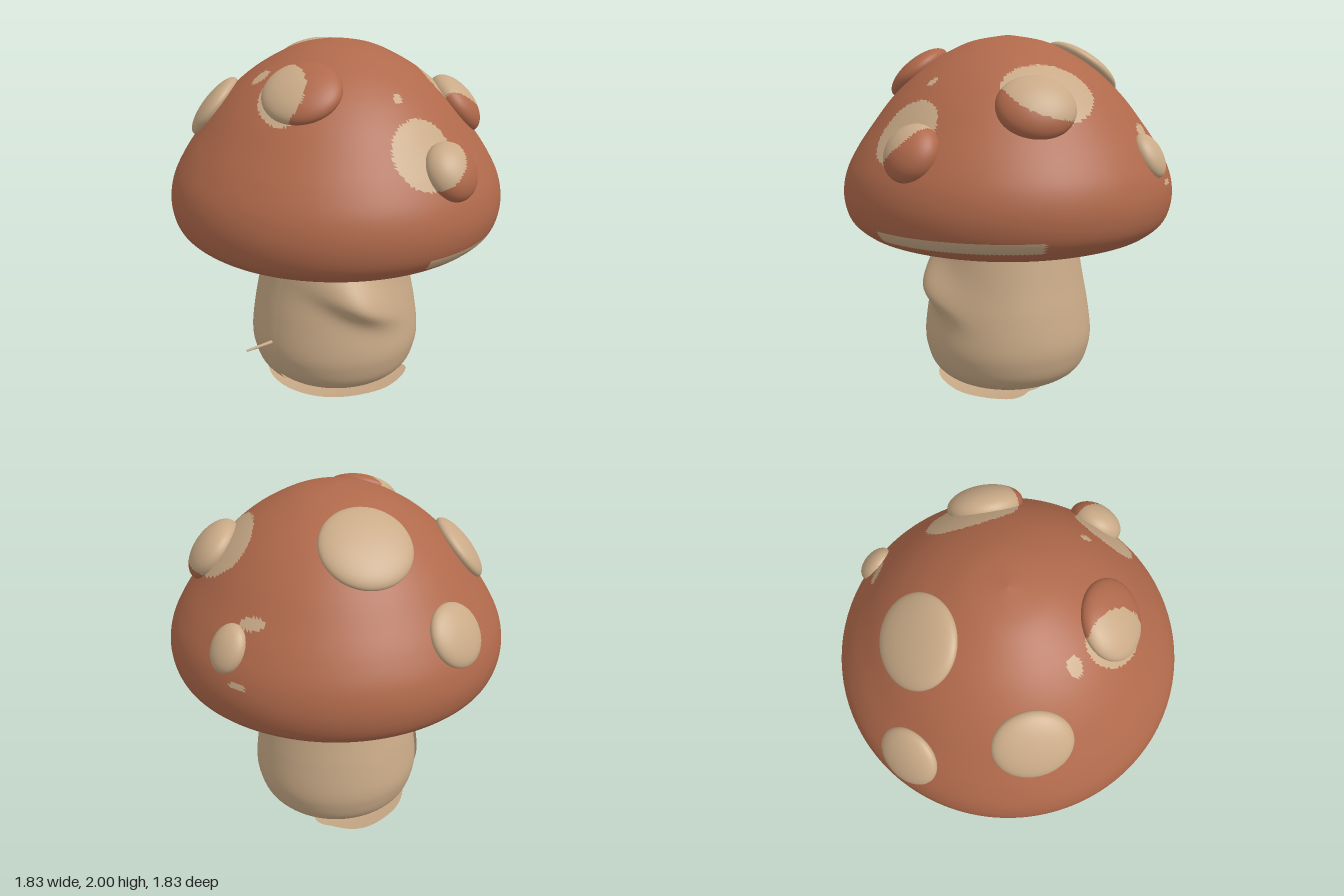
import * as THREE from 'three';
import { mergeVertices } from 'three/addons/utils/BufferGeometryUtils.js';

const rust = new THREE.MeshStandardMaterial({ color: 0xb0694b });
rust.name = 'rust cap';
const cream = new THREE.MeshStandardMaterial({ color: 0xc9aa87, side: THREE.DoubleSide });
cream.name = 'cream';

const spline = (pts, n) =>
  new THREE.SplineCurve(pts.map(([r, y]) => new THREE.Vector2(r, y))).getPoints(n)
    .map((p) => new THREE.Vector2(Math.max(p.x, 0), p.y));

// Cap profile, from the stem joint under the rim up to the crown
const capProfile = spline([[0.36, 0.87], [0.43, 0.84], [0.57, 0.865], [0.72, 0.905], [0.81, 0.945],
  [0.885, 1.02], [0.915, 1.14], [0.895, 1.27], [0.83, 1.4], [0.74, 1.53], [0.64, 1.66],
  [0.52, 1.78], [0.38, 1.88], [0.2, 1.965], [0, 2]], 126);

const stemProfile = spline([[0, 0.04], [0.2, 0.045], [0.34, 0.07], [0.43, 0.14], [0.47, 0.24],
  [0.48, 0.34], [0.46, 0.5], [0.43, 0.66], [0.4, 0.84], [0.39, 0.9]], 60);

// Cream paint areas: centre and radii of ellipsoids cutting the surface
const paint = [
  [0.23, 1.53, 0.74, 0.185, 0.175, 0.25],
  [0.58, 1.71, 0.09, 0.25, 0.17, 0.25],
  [-0.39, 1.78, 0.37, 0.125, 0.2, 0.17],
  [-0.44, 1.83, 0.12, 0.055, 0.06, 0.04],
  [0.15, 1.76, 0.52, 0.026, 0.02, 0.08],
  [0.62, 1.51, -0.47, 0.15, 0.03, 0.06],
  [0.7, 1.24, -0.56, 0.1, 0.018, 0.04],
];

function isCream(p) {
  const az = Math.atan2(p.x, p.z);
  if (p.y > 0.97 && p.y < 1.03 && az > 0.24 && az < 1.27 && Math.hypot(p.x, p.z) > 0.6) return true;
  return paint.some(([x, y, z, a, b, c]) =>
    ((p.x - x) / a) ** 2 + ((p.y - y) / b) ** 2 + ((p.z - z) / c) ** 2 < 1);
}

// Sort the triangles into a rust group and a cream group
function paintFaces(geo) {
  const pos = geo.attributes.position, idx = geo.index.array;
  const lists = [[], []];
  const mid = new THREE.Vector3(), v = new THREE.Vector3();
  for (let i = 0; i < idx.length; i += 3) {
    mid.set(0, 0, 0);
    for (let k = 0; k < 3; k++) mid.add(v.fromBufferAttribute(pos, idx[i + k]));
    lists[isCream(mid.divideScalar(3)) ? 1 : 0].push(idx[i], idx[i + 1], idx[i + 2]);
  }
  geo.setIndex([...lists[0], ...lists[1]]);
  geo.clearGroups();
  geo.addGroup(0, lists[0].length, 0);
  geo.addGroup(lists[0].length, lists[1].length, 1);
  return geo;
}

// Flattened dome lying on the cap at plan position x, z
function spotGeometry(x, z, width, height, depth) {
  const r = Math.hypot(x, z), az = Math.atan2(x, z);
  let best = 70;
  for (let i = 60; i < capProfile.length - 1; i++) {
    if (Math.abs(capProfile[i].x - r) < Math.abs(capProfile[best].x - r)) best = i;
  }
  const p = capProfile[best];
  const d = capProfile[best + 1].clone().sub(capProfile[best - 1]).normalize();
  const n = new THREE.Vector3(d.y * Math.sin(az), -d.x, d.y * Math.cos(az));
  const t = new THREE.Vector3(Math.cos(az), 0, -Math.sin(az));
  const m = new THREE.Matrix4().makeBasis(t, n.clone().cross(t), n);
  m.setPosition(x, p.y, z);
  return new THREE.SphereGeometry(1, 56, 40).scale(width, height, depth).applyMatrix4(m);
}

function stemGeometry() {
  let geo = new THREE.LatheGeometry(stemProfile, 72, Math.PI);
  const pos = geo.attributes.position;
  // Slanting fold that swells from the front
  for (let i = 0; i < pos.count; i++) {
    const x = pos.getX(i), y = pos.getY(i), z = pos.getZ(i);
    if (z <= 0) continue;
    const dy = y - (0.62 - 0.42 * x);
    const swell = Math.exp(-(((x + 0.02) / 0.2) ** 2)) * Math.exp(-((dy / (dy > 0 ? 0.14 : 0.08)) ** 2));
    pos.setZ(i, z + 0.085 * swell);
  }
  geo.deleteAttribute('uv');
  geo.deleteAttribute('normal');
  geo = mergeVertices(geo);
  geo.computeVertexNormals();
  return geo;
}

// Curled sheet under the stem, its outline given as radii every 30 degrees
function baseSheetGeometry() {
  const radii = [0.27, 0.43, 0.42, 0.4, 0.41, 0.41, 0.41, 0.42, 0.43, 0.45, 0.38, 0.25];
  const geo = new THREE.RingGeometry(0.001, 1, 72, 5);
  const pos = geo.attributes.position;
  for (let i = 0; i < pos.count; i++) {
    const x = pos.getX(i), z = pos.getY(i);
    const a = ((Math.atan2(z, x) / (Math.PI / 6)) + 12) % 12;
    const k = Math.floor(a), f = a - k, s = f * f * (3 - 2 * f);
    const r = radii[k % 12] * (1 - s) + radii[(k + 1) % 12] * s;
    pos.setXYZ(i, x * r, 0.3 * r * r * (x * x + z * z), z * r);
  }
  geo.computeVertexNormals();
  return geo;
}

export function createModel() {
  const model = new THREE.Group();
  model.name = 'mushroom';
  const add = (name, geo, mat) => {
    const mesh = new THREE.Mesh(geo, mat);
    mesh.name = name;
    model.add(mesh);
    return mesh;
  };

  add('cap', paintFaces(new THREE.LatheGeometry(capProfile, 240, Math.PI)), [rust, cream]);
  add('stem', stemGeometry(), cream);
  add('baseSheet', baseSheetGeometry(), cream);

  // Thin peeling skin on one side of the stem
  const skin = stemProfile.filter((p) => p.y > 0.1 && p.y < 0.83)
    .map((p) => new THREE.Vector2(p.x + 0.015, p.y));
  add('stemSkin', new THREE.LatheGeometry(skin, 16, -1.9, 0.85), cream);

  // Small thorn on the skin
  const from = new THREE.Vector3(-0.44, 0.362, 0.21), to = new THREE.Vector3(-0.59, 0.34, 0.23);
  const dir = to.clone().sub(from);
  const thorn = add('thorn', new THREE.CylinderGeometry(0.006, 0.011, dir.length(), 6), cream);
  thorn.position.copy(from).lerp(to, 0.5);
  thorn.quaternion.setFromUnitVectors(new THREE.Vector3(0, 1, 0), dir.normalize());

  // Plain cream spots
  for (const [name, ...s] of [
    ['crownSpot', 0.02, -0.47, 0.235, 0.23, 0.065],
    ['sideSpot', -0.63, -0.2, 0.2, 0.19, 0.065],
    ['backSpot', -0.35, -0.74, 0.165, 0.165, 0.06],
    ['smallSpot', 0.71, -0.44, 0.1, 0.125, 0.06],
  ]) add(name, spotGeometry(...s), cream);

  // Spots only partly covered in cream
  for (const [name, ...s] of [
    ['frontSpot', 0.355, 0.73, 0.15, 0.155, 0.1],
    ['leftSpot', 0.62, 0.19, 0.2, 0.18, 0.1],
    ['upperSpot', -0.3, 0.4, 0.205, 0.19, 0.08],
  ]) add(name, paintFaces(spotGeometry(...s)), [rust, cream]);

  return model;
}
